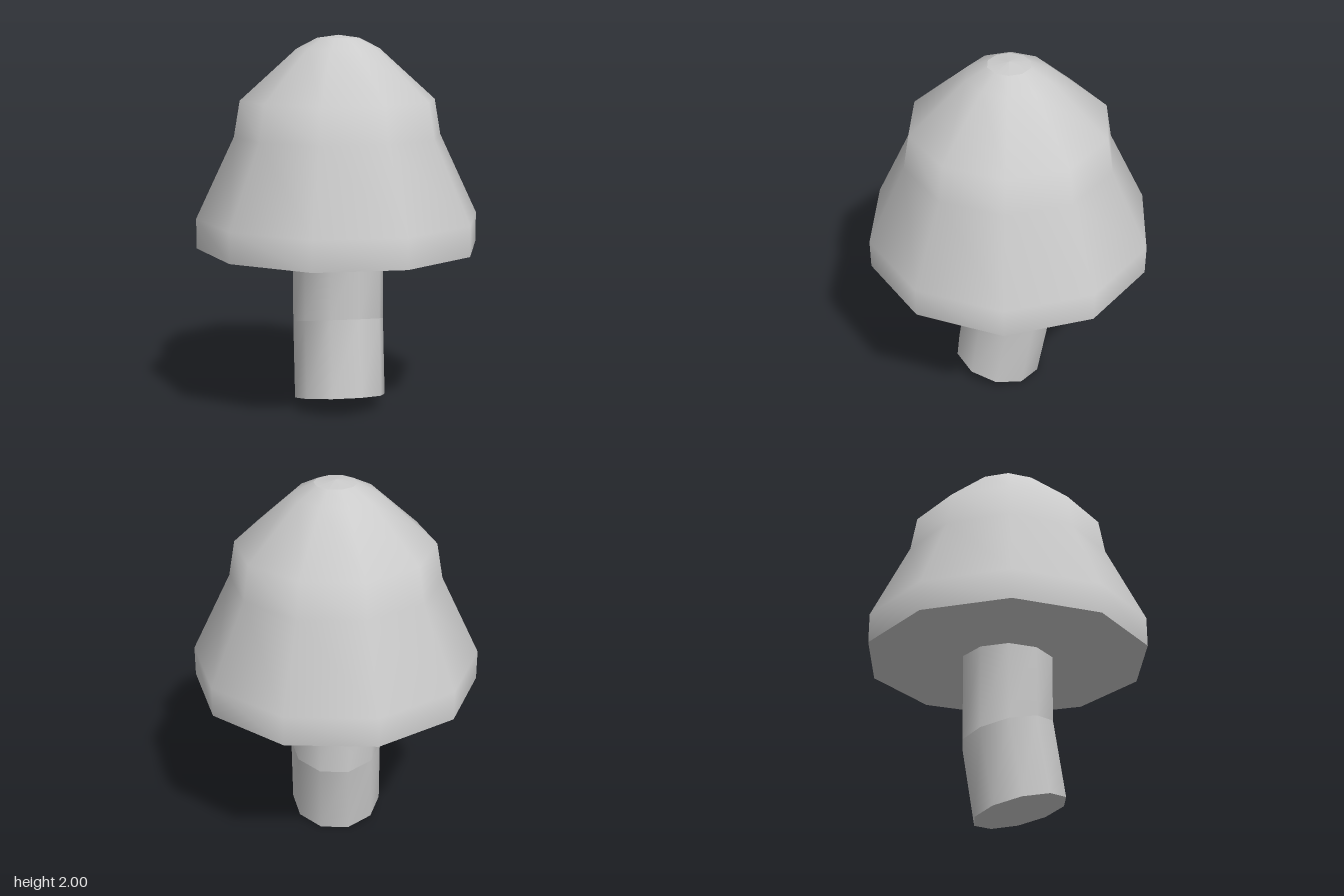
import * as THREE from 'three';
import { toCreasedNormals } from 'three/addons/utils/BufferGeometryUtils.js';

const SIDES = 10;

export function createModel() {
  const group = new THREE.Group();
  const material = new THREE.MeshStandardMaterial({ color: 0xcccccc });
  const add = (name, geometry) => {
    const mesh = new THREE.Mesh(geometry, material);
    mesh.name = name;
    group.add(mesh);
  };
  const turn = (name, profile) => add(name, new THREE.LatheGeometry(
    profile.map(([r, y]) => new THREE.Vector2(r, y)), SIDES, Math.PI / 2));

  // Ten-sided cap with a softly stepped outline
  turn('cap', [[0.76, 0.88], [0.76, 1.04], [0.555, 1.47], [0.522, 1.66], [0.22, 1.93], [0.112, 1.985]]);
  turn('capTip', [[0.112, 1.985], [0, 2]]);
  const underside = new THREE.CircleGeometry(0.76, SIDES);
  underside.rotateX(Math.PI / 2).translate(0, 0.88, 0);
  add('capUnderside', underside);

  // Stem rings: centre height, centre z, half depth and tilt of the cut
  const stemRadius = 0.247;
  const top = { y: 0.9, z: 0.002, depth: 0.248, slope: 0 };
  const bend = { y: 0.466, z: 0.002, depth: 0.245, slope: 0.235 };
  const foot = { y: 0.055, z: 0.065, depth: 0.242, slope: 0.235 };
  const placeRings = (geometry, upper, lower) => {
    const p = geometry.attributes.position;
    for (let i = 0; i < p.count; i++) {
      const ring = p.getY(i) > 0 ? upper : lower;
      const dz = p.getZ(i) * ring.depth;
      p.setXYZ(i, p.getX(i) * stemRadius, ring.y + dz * ring.slope, ring.z + dz);
    }
    return toCreasedNormals(geometry, 0.8);
  };
  const tube = () => new THREE.CylinderGeometry(1, 1, 1, SIDES, 1, true, Math.PI / 2);
  add('upperStem', placeRings(tube(), top, bend));
  add('lowerStem', placeRings(tube(), bend, foot));
  const sole = new THREE.CircleGeometry(1, SIDES).rotateX(Math.PI / 2).translate(0, -1, 0);
  add('stemBase', placeRings(sole, foot, foot));

  return group;
}
